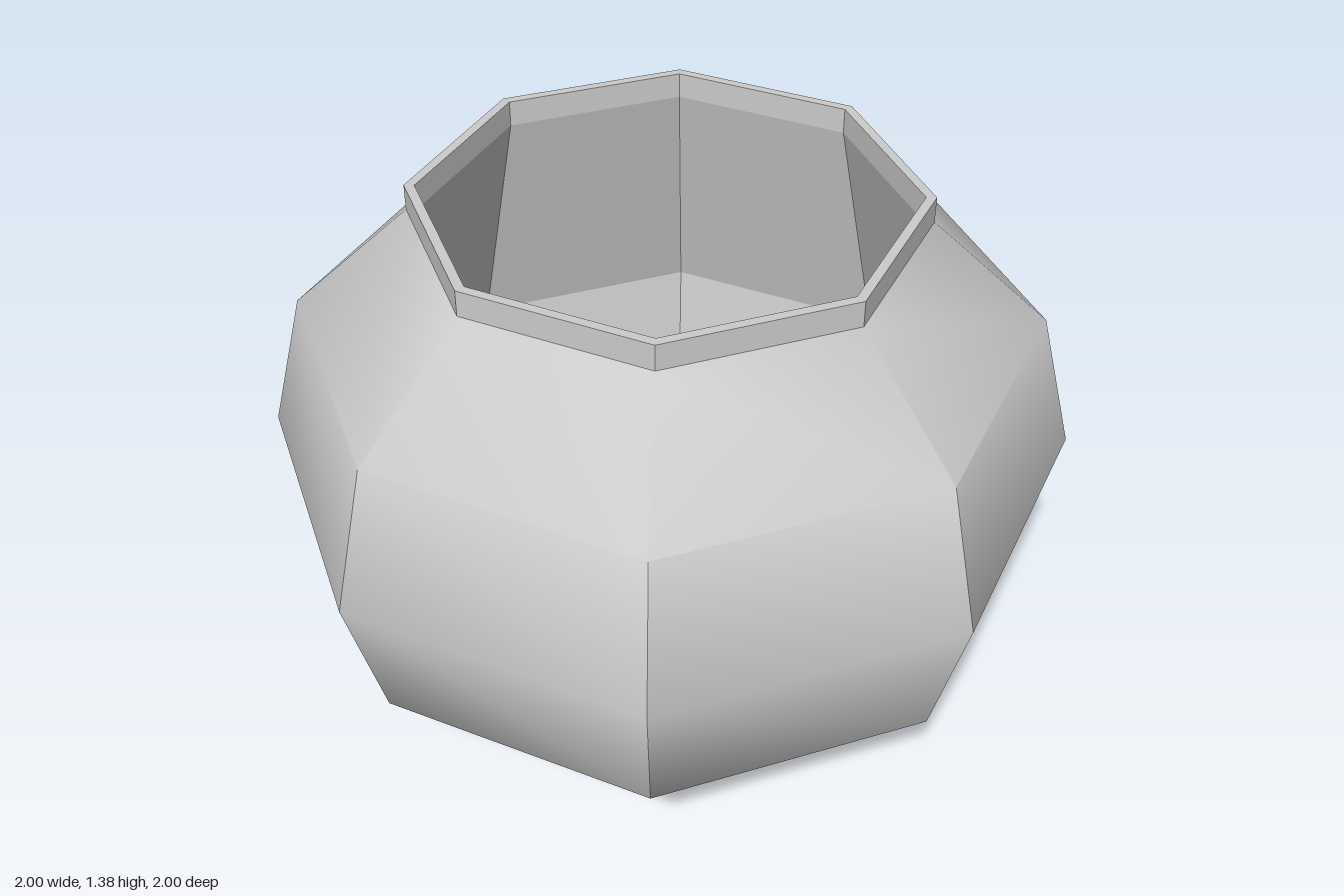
import * as THREE from 'three';
import { toCreasedNormals } from 'three/addons/utils/BufferGeometryUtils.js';

const SIDES = 8;

// Eight-sided lathe; points run upward for outward faces, downward for inward faces
function turned(points, crease) {
  const profile = points.map(([r, y]) => new THREE.Vector2(r, y));
  return toCreasedNormals(new THREE.LatheGeometry(profile, SIDES), crease);
}

function disc(radius, y, up) {
  const g = new THREE.CircleGeometry(radius, SIDES);
  g.rotateX(up ? -Math.PI / 2 : Math.PI / 2);
  return g.translate(0, y, 0);
}

export function createModel() {
  const pot = new THREE.Group();
  pot.name = 'pot';
  const material = new THREE.MeshStandardMaterial({ color: 0xcccccc });
  const add = (name, geometry) => {
    const mesh = new THREE.Mesh(geometry, material);
    mesh.name = name;
    pot.add(mesh);
  };

  // Bulging outer wall, smooth up each panel and creased between panels
  add('outerWall', turned(
    [[0.53, 0], [0.905, 0.335], [1, 0.695], [0.905, 1.055], [0.615, 1.32]], 0.65));

  // Upright collar with a narrow flat lip
  add('rim', turned([[0.615, 1.32], [0.615, 1.385], [0.59, 1.385], [0.59, 1.32]], 0.2));

  // Hollow interior, faceted, sloping gently to a small flat floor
  add('innerWall', turned([[0.59, 1.32], [0.75, 0.68], [0.66, 0.25], [0.22, 0.12]], 0.05));
  add('innerFloor', disc(0.22, 0.12, true));

  // Flat underside
  add('base', disc(0.53, 0, false));

  return pot;
}
